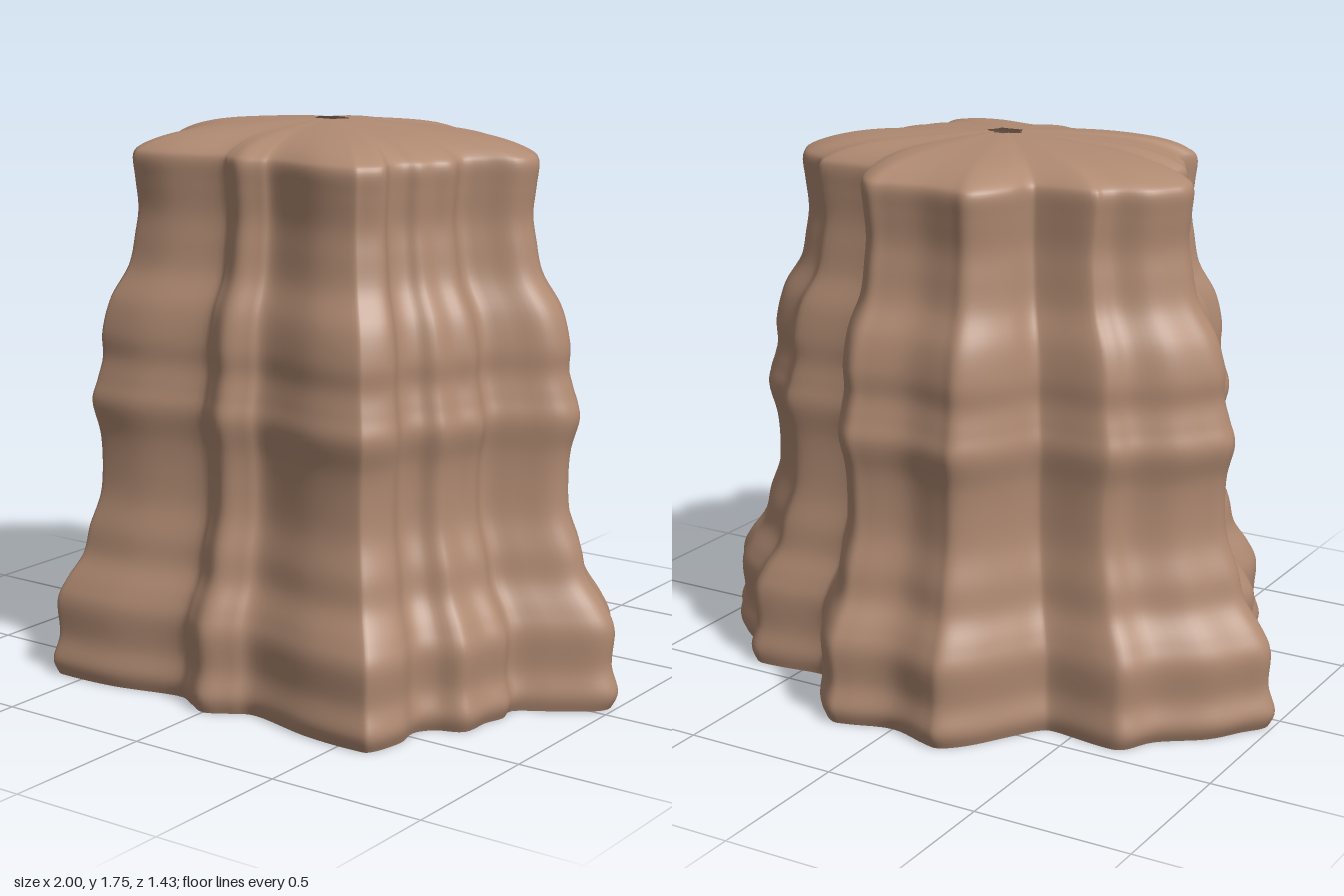
import * as THREE from 'three';

// Half outlines (x, z) from the back middle round the left side to the front middle
const FOOT = [
  [0, -.67], [.14, -.71], [.2, -.715], [.27, -.65], [.34, -.54], [.4, -.45], [.45, -.43],
  [.61, -.45], [.69, -.44], [.75, -.34], [.88, -.24], [.95, -.14], [1, -.07], [.98, -.01],
  [.87, .07], [.77, .14], [.78, .21], [.76, .28], [.75, .38], [.67, .42], [.63, .48],
  [.645, .57], [.62, .68], [.57, .7], [.38, .69], [.16, .64], [.08, .67], [0, .71],
];
const RIM = [
  [0, -.47], [.11, -.485], [.17, -.495], [.22, -.45], [.26, -.38], [.28, -.31], [.32, -.295],
  [.47, -.29], [.5, -.26], [.53, -.23], [.61, -.19], [.66, -.12], [.68, -.07], [.66, 0],
  [.58, .05], [.53, .1], [.55, .18], [.52, .23], [.5, .28], [.465, .31], [.45, .36],
  [.47, .42], [.43, .47], [.4, .49], [.28, .5], [.11, .46], [.06, .475], [0, .5],
];
// Weathered layers: [outline scale, height], ending at the small hole on top
const LAYERS = [
  [.98, 0], [1, .05], [.975, .13], [.98, .24], [.945, .31], [.885, .39], [.86, .48],
  [.82, .58], [.81, .68], [.815, .78], [.84, .88], [.82, .95], [.8, 1.02], [.8, 1.1],
  [.77, 1.2], [.705, 1.3], [.68, 1.4], [.667, 1.48], [.675, 1.57], [.68, 1.64],
  [.65, 1.67], [.56, 1.7], [.44, 1.72], [.24, 1.737], [.06, 1.747],
];
const CENTRE_Z = 0.03, RIM_SCALE = 0.68, RIM_Y = 1.64;

// Mirrors a half outline and samples it as a closed smooth loop about the centre
function loop(half, count, scale) {
  const mirrored = half.slice(1, -1).reverse().map(([x, z]) => [-x, z]);
  const pts = [...half, ...mirrored].map(([x, z]) =>
    new THREE.Vector3(x / scale, 0, (z - CENTRE_Z) / scale));
  const curve = new THREE.CatmullRomCurve3(pts, true, 'catmullrom', 0.5);
  return Array.from({ length: count }, (_, i) => curve.getPoint(i / count));
}

// Skins the layered outlines from foot to top
function rockGeometry() {
  const around = 270, up = 120;
  const foot = loop(FOOT, around, 1), rim = loop(RIM, around, RIM_SCALE);
  const profile = new THREE.SplineCurve(LAYERS.map(([s, y]) => new THREE.Vector2(s, y)));
  const positions = [], index = [];
  for (let j = 0; j <= up; j++) {
    const { x: scale, y } = profile.getPoint(j / up);
    const blend = Math.min(1, y / RIM_Y);
    for (let i = 0; i < around; i++) {
      const p = foot[i].clone().lerp(rim[i], blend).multiplyScalar(scale);
      positions.push(p.x, y, p.z + CENTRE_Z);
      if (j === up) continue;
      const a = j * around + i, b = j * around + (i + 1) % around;
      index.push(a, a + around, b, b, a + around, b + around);
    }
  }
  const geometry = new THREE.BufferGeometry();
  geometry.setAttribute('position', new THREE.Float32BufferAttribute(positions, 3));
  geometry.setIndex(index);
  geometry.computeVertexNormals();
  return geometry;
}

export function createModel() {
  const group = new THREE.Group();
  group.name = 'rockPillar';
  const stone = new THREE.MeshStandardMaterial({ color: 0xb08a72, side: THREE.DoubleSide });
  stone.name = 'brown stone';
  // Open shell: no floor, small hole in the cap
  const rock = new THREE.Mesh(rockGeometry(), stone);
  rock.name = 'rockShell';
  group.add(rock);
  return group;
}
